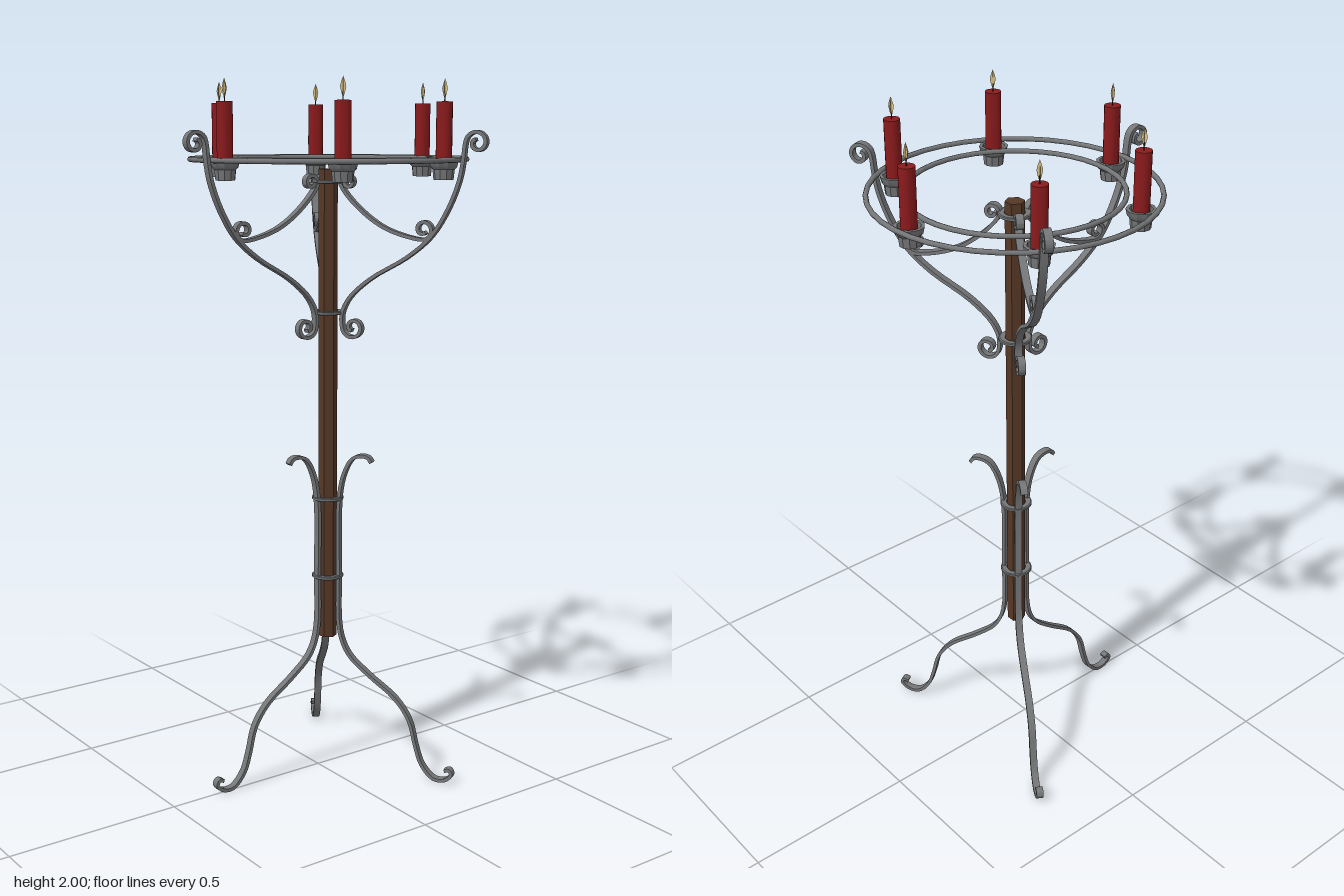
import * as THREE from 'three';
import { toCreasedNormals } from 'three/addons/utils/BufferGeometryUtils.js';

const iron = new THREE.MeshStandardMaterial({ color: 0x757678 });
const wood = new THREE.MeshStandardMaterial({ color: 0x553726 });
const wax = new THREE.MeshStandardMaterial({ color: 0x8a1a1c });
const wickMat = new THREE.MeshStandardMaterial({ color: 0x2a2420 });
const flameMat = new THREE.MeshStandardMaterial({ color: 0xe0c88a, side: THREE.DoubleSide });

const AXIS_X = 0.035;
const RING_Y = 1.787;

function part(name, geometry, material, y = 0) {
  const mesh = new THREE.Mesh(geometry, material);
  mesh.name = name;
  mesh.position.y = y;
  return mesh;
}

// Points of a scroll that winds inward; angles in degrees
function scroll(cx, cy, r0, r1, start, sweep) {
  const n = 14;
  return Array.from({ length: n + 1 }, (_, i) => {
    const a = THREE.MathUtils.degToRad(start + (sweep * i) / n);
    const r = r0 + ((r1 - r0) * i) / n;
    return [cx + r * Math.cos(a), cy + r * Math.sin(a)];
  });
}

// Flat iron bar bent along a profile of [distance from axis, height]
function bentBar(points, samples, width = 0.021, thick = 0.01) {
  const curve = new THREE.CatmullRomCurve3(points.map(([r, y]) => new THREE.Vector3(r, y, 0)), false, 'centripetal');
  const left = [], right = [];
  for (let i = 0; i <= samples; i++) {
    const p = curve.getPoint(i / samples);
    const t = curve.getTangent(i / samples);
    const nx = (-t.y * thick) / 2, ny = (t.x * thick) / 2;
    left.push(new THREE.Vector2(p.x + nx, p.y + ny));
    right.unshift(new THREE.Vector2(p.x - nx, p.y - ny));
  }
  const geo = new THREE.ExtrudeGeometry(new THREE.Shape([...left, ...right]), { depth: width, bevelEnabled: false });
  geo.translate(0, 0, -width / 2);
  return toCreasedNormals(geo, 0.7);
}

// Turned shape from [radius, height] pairs
function turned(profile, sides) {
  return toCreasedNormals(new THREE.LatheGeometry(profile.map(([r, y]) => new THREE.Vector2(r, y)), sides), 0.6);
}

function hoop(radius) {
  return new THREE.TorusGeometry(radius, 0.0072, 8, 40).rotateX(Math.PI / 2);
}

export function createModel() {
  const model = new THREE.Group();
  model.name = 'candleStand';
  const stand = new THREE.Group();
  stand.name = 'stand';
  stand.position.x = AXIS_X;
  model.add(stand);

  // Hexagonal wooden post
  const post = new THREE.CylinderGeometry(0.027, 0.027, 1.36, 6);
  stand.add(part('post', toCreasedNormals(post, 0.5), wood, 1.08));

  // Collars binding the bars to the post
  const collar = turned([
    [0.028, -0.004], [0.043, -0.005], [0.046, -0.003], [0.046, 0.003], [0.043, 0.005], [0.028, 0.004], [0.028, -0.004],
  ], 20);
  for (const y of [0.585, 0.82, 1.36, 1.725]) stand.add(part('collar', collar, iron, y));

  // Bar profiles
  const leg = bentBar([
    [0.138, 0.935], [0.128, 0.948], [0.108, 0.952], [0.08, 0.942], [0.055, 0.9], [0.039, 0.83],
    [0.037, 0.6], [0.041, 0.42], [0.069, 0.352], [0.132, 0.297], [0.218, 0.235], [0.262, 0.175],
    [0.283, 0.1], [0.303, 0.045], [0.34, 0.008], [0.375, 0.009], [0.395, 0.028], [0.388, 0.042], [0.374, 0.038],
  ], 72);
  const arm = bentBar([
    ...scroll(0.434, 1.832, 0.033, 0.01, 180, -430).reverse(),
    [0.395, 1.78], [0.385, 1.73], [0.355, 1.655], [0.307, 1.58], [0.238, 1.522],
    [0.132, 1.46], [0.069, 1.405], [0.046, 1.36],
    ...scroll(0.079, 1.321, 0.033, 0.01, 180, 430),
  ], 144);
  const brace = bentBar([
    ...scroll(0.062, 1.724, 0.022, 0.009, 200, -380).reverse(),
    [0.068, 1.68], [0.122, 1.632], [0.175, 1.6], [0.235, 1.58],
    ...scroll(0.285, 1.6, 0.028, 0.01, 262, 410),
  ], 120);

  // Three sets of leg, arm and brace around the post
  for (let i = 0; i < 3; i++) {
    const side = new THREE.Group();
    side.name = 'supportSet';
    side.rotation.y = Math.PI + (i * 2 * Math.PI) / 3;
    side.add(part('leg', leg, iron), part('arm', arm, iron), part('brace', brace, iron));
    stand.add(side);
  }

  // Two rings that carry the cups
  stand.add(part('outerRing', hoop(0.384), iron, RING_Y));
  stand.add(part('innerRing', hoop(0.289), iron, RING_Y));

  // Cup, candle, wick and flat crossed flame
  const cup = turned([
    [0, 1.734], [0.027, 1.734], [0.03, 1.762], [0.036, 1.768], [0.0405, 1.786],
    [0.031, 1.786], [0.028, 1.758], [0, 1.758],
  ], 10);
  const candle = toCreasedNormals(new THREE.CylinderGeometry(0.022, 0.022, 0.19, 16), 0.7);
  const wick = new THREE.CylinderGeometry(0.0015, 0.0015, 0.022, 5);
  const flame = new THREE.ShapeGeometry(new THREE.Shape([
    [0, 1.945], [0.005, 1.96], [0.008, 1.974], [0.005, 1.986], [0, 2],
    [-0.005, 1.986], [-0.008, 1.974], [-0.005, 1.96],
  ].map(([x, y]) => new THREE.Vector2(x, y))));

  for (let i = 0; i < 6; i++) {
    const a = (i * Math.PI) / 3;
    const holder = new THREE.Group();
    holder.name = 'candleHolder';
    holder.position.set(0.339 * Math.cos(a), 0, 0.339 * Math.sin(a));
    holder.rotation.y = -a;
    holder.add(part('cup', cup, iron), part('candle', candle, wax, 1.845));
    holder.add(part('wick', wick, wickMat, 1.95));
    for (const turn of [0, Math.PI / 2]) {
      const blade = part('flame', flame, flameMat);
      blade.rotation.y = turn;
      holder.add(blade);
    }
    stand.add(holder);
  }
  return model;
}
